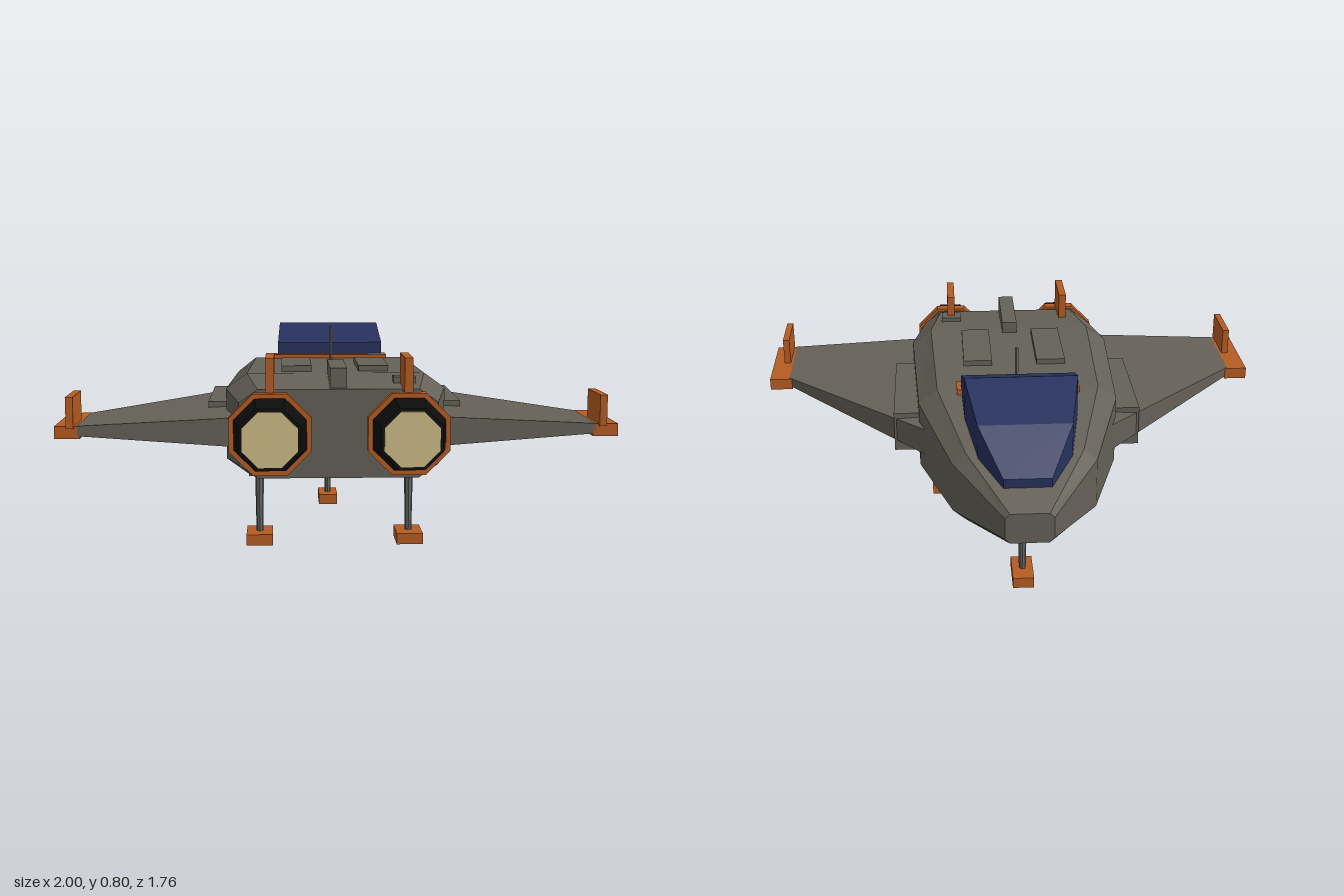
import * as THREE from 'three';

const mat = (name, color) => {
  const m = new THREE.MeshStandardMaterial({ color, flatShading: true });
  m.name = name;
  return m;
};

// Skin between rings of points, with both ends capped; always faces outward.
function loft(rings) {
  const pos = [];
  const n = rings[0].length;
  const tri = (a, b, c) => pos.push([a, b, c]);
  for (let i = 0; i < rings.length - 1; i++) {
    for (let j = 0; j < n; j++) {
      const k = (j + 1) % n;
      const [a, b, c, d] = [rings[i][j], rings[i][k], rings[i + 1][k], rings[i + 1][j]];
      tri(a, b, c);
      tri(a, c, d);
    }
  }
  const first = rings[0], last = rings[rings.length - 1];
  for (let j = 1; j < n - 1; j++) {
    tri(first[0], first[j + 1], first[j]);
    tri(last[0], last[j], last[j + 1]);
  }
  // the sign of the volume tells whether the winding must be flipped
  let volume = 0;
  const v = p => new THREE.Vector3(...p);
  pos.forEach(([a, b, c]) => { volume += v(a).dot(v(b).cross(v(c))); });
  const flat = pos.flatMap(([a, b, c]) => (volume < 0 ? [a, c, b] : [a, b, c])).flat();
  const geo = new THREE.BufferGeometry();
  geo.setAttribute('position', new THREE.Float32BufferAttribute(flat, 3));
  geo.computeVertexNormals();
  return geo;
}

export function createModel() {
  const ship = new THREE.Group();
  ship.name = 'spacecraft';
  const hullGrey = mat('hull grey', 0x656158);
  const steel = mat('steel grey', 0x666864);
  const orange = mat('orange trim', 0xb65c22);
  const navy = mat('navy glass', 0x27315e);
  const black = mat('nozzle black', 0x0d0d0d);
  const tan = mat('exhaust tan', 0xcfbd88);

  const add = (name, geo, material, x = 0, y = 0, z = 0) => {
    const m = new THREE.Mesh(geo, material);
    m.name = name;
    m.position.set(x, y, z);
    ship.add(m);
    return m;
  };
  // box given by its limits on each axis
  const box = (name, material, [x0, x1], [y0, y1], [z0, z1]) =>
    add(name, new THREE.BoxGeometry(Math.abs(x1 - x0), y1 - y0, z1 - z0), material,
      (x0 + x1) / 2, (y0 + y1) / 2, (z0 + z1) / 2);

  // Hull: chamfered sections [z, half width, bottom, top]
  const hullRing = ([z, w, b, t]) => {
    const cx = w * 0.81, cy = (t - b) * 0.15;
    return [[cx, b, z], [w, b + cy, z], [w, t - cy, z], [cx, t, z],
      [-cx, t, z], [-w, t - cy, z], [-w, b + cy, z], [-cx, b, z]];
  };
  add('hull', loft([
    [-0.88, 0.085, 0.385, 0.5],
    [-0.61, 0.26, 0.328, 0.6],
    [-0.21, 0.378, 0.293, 0.667],
    [0.4, 0.405, 0.293, 0.667],
    [0.68, 0.35, 0.325, 0.64],
  ].map(hullRing)), hullGrey);

  // Canopy: box sections [z, half width, bottom, top]
  add('canopy', loft([
    [-0.77, 0.085, 0.52, 0.575],
    [-0.635, 0.168, 0.56, 0.718],
    [-0.405, 0.207, 0.6, 0.798],
    [-0.22, 0.215, 0.64, 0.728],
  ].map(([z, w, b, t]) => [[w, b, z], [w, t, z], [-w, t, z], [-w, b, z]])), navy);
  box('canopySill', orange, [-0.232, 0.232], [0.64, 0.682], [-0.25, -0.168]);
  add('antenna', new THREE.CylinderGeometry(0.007, 0.007, 0.15, 6), steel, 0, 0.725, -0.135);

  // Deck and belly fittings
  box('spine', hullGrey, [-0.03, 0.03], [0.63, 0.712], [0.35, 0.66]);
  box('deckVent', hullGrey, [0.2, 0.28], [0.62, 0.672], [0.52, 0.585]);
  box('bellyPlate', hullGrey, [-0.172, 0.172], [0.253, 0.32], [-0.46, 0.25]);
  box('noseSensor', hullGrey, [-0.05, 0.05], [0.347, 0.41], [-0.785, -0.72]);
  const dome = add('bellyDome', new THREE.SphereGeometry(0.07, 10, 6), hullGrey, 0, 0.262, -0.26);
  dome.scale.y = 0.55;

  // Landing leg with mount and foot
  const landingGear = (name, x, z, footWidth) => {
    box(name + 'Mount', hullGrey, [x - 0.04, x + 0.04], [0.265, 0.36], [z - 0.05, z + 0.05]);
    add(name + 'Strut', new THREE.CylinderGeometry(0.017, 0.013, 0.24, 8), steel, x, 0.155, z);
    box(name + 'Foot', orange, [x - footWidth / 2, x + footWidth / 2], [0, 0.042], [z - 0.078, z + 0.078]);
  };
  landingGear('frontGear', 0, -0.49, 0.08);

  // Engine tubes run along z, with a flat side up
  const tube = (name, material, x, rBack, rFront, z0, z1) => {
    const geo = new THREE.CylinderGeometry(rBack, rFront, z1 - z0, 8);
    geo.rotateY(Math.PI / 8).rotateX(Math.PI / 2);
    return add(name, geo, material, x, 0.493, (z0 + z1) / 2);
  };

  for (const s of [1, -1]) {
    const side = s > 0 ? 'left' : 'right';
    const span = (a, b) => [Math.min(s * a, s * b), Math.max(s * a, s * b)];

    // Wing: tapered sections [x, leading z, bottom, top]
    add(side + 'Wing', loft([[0.34, -0.3, 0.428, 0.536], [0.92, 0.295, 0.472, 0.508]]
      .map(([x, z, b, t]) => [[s * x, b, z], [s * x, t, z], [s * x, t, 0.635], [s * x, b, 0.635]])), hullGrey);
    box(side + 'WingTip', orange, span(0.91, 1), [0.462, 0.507], [0.285, 0.635]);
    box(side + 'TipFin', orange, span(0.93, 0.956), [0.5, 0.612], [0.456, 0.65]);
    box(side + 'SidePod', hullGrey, span(0.33, 0.476), [0.396, 0.552], [-0.17, 0.318]);
    box(side + 'DeckPanel', hullGrey, span(0.088, 0.2), [0.64, 0.688], [0.01, 0.34]);

    // Engine
    const x = s * 0.24;
    tube(side + 'EngineBody', hullGrey, x, 0.143, 0.143, 0.53, 0.73);
    tube(side + 'EngineRing', orange, x, 0.154, 0.154, 0.725, 0.768);
    tube(side + 'Nozzle', black, x, 0.114, 0.138, 0.76, 0.88);
    tube(side + 'Exhaust', tan, x, 0.102, 0.102, 0.876, 0.884);
    box(side + 'EngineFin', orange, [x - 0.015, x + 0.015], [0.6, 0.755], [0.55, 0.74]);

    landingGear(side + 'RearGear', s * 0.287, 0.263, 0.1);
  }
  return ship;
}
